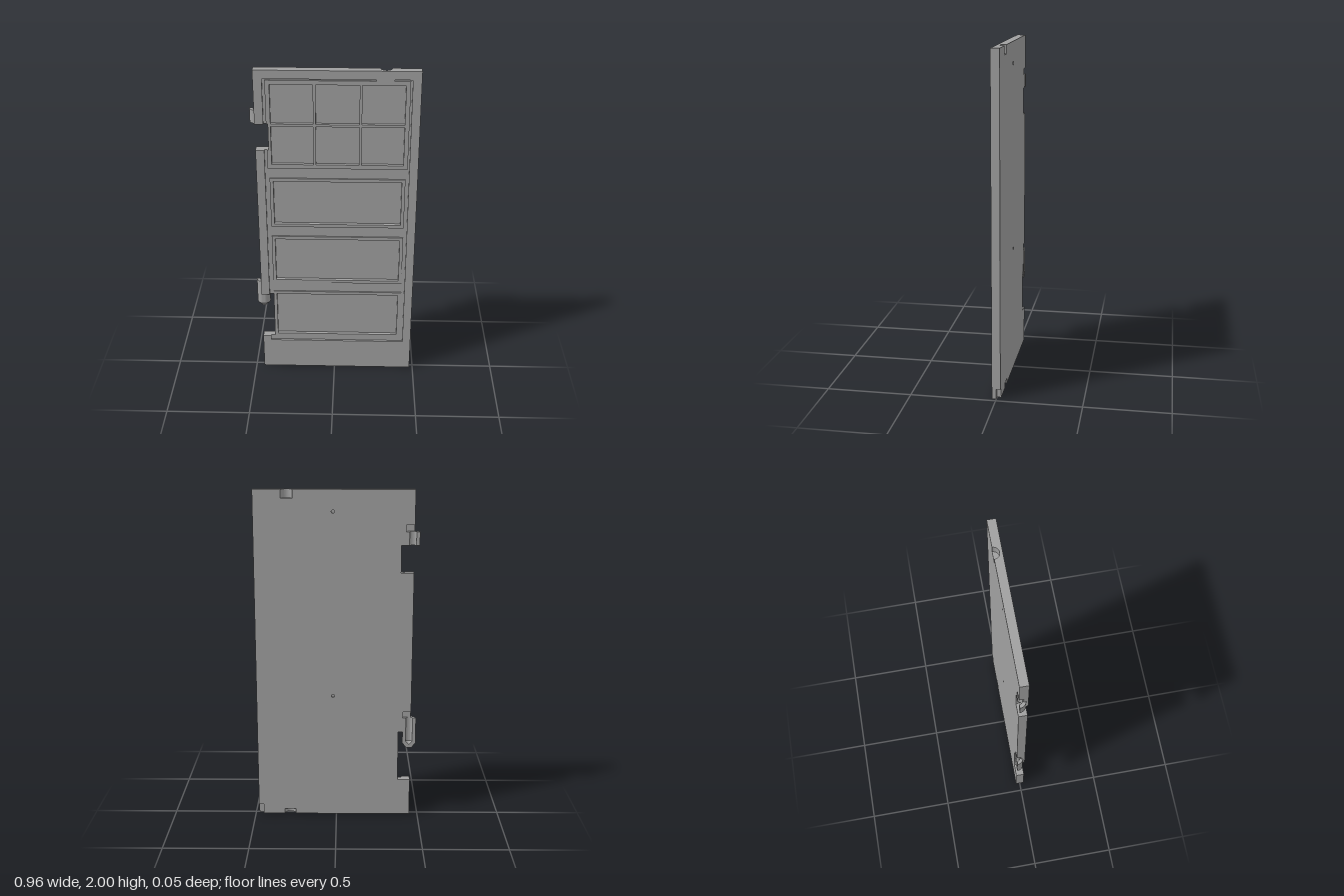
import * as THREE from 'three';
import { toCreasedNormals } from 'three/addons/utils/BufferGeometryUtils.js';

const BACK = -0.025, FLOOR = 0, FIELD = 0.012, BEAD = 0.02, FRONT = 0.025;

const poly = (pts) => new THREE.Shape(pts.map(([x, y]) => new THREE.Vector2(x, y)));
const rect = (x0, y0, x1, y1) => poly([[x0, y0], [x1, y0], [x1, y1], [x0, y1]]);

// Flat layer between two depths, with optional holes
function slab(shape, z0, z1, holes = []) {
  shape.holes.push(...holes);
  const geo = new THREE.ExtrudeGeometry(shape, { depth: z1 - z0, bevelEnabled: false, curveSegments: 12 });
  return geo.translate(0, 0, z0);
}

// Door outline with hinge cut-outs, latch notches and, for the back layer, extra rebates
function outline(rebated) {
  const corner = rebated ? [[0.45, 0], [0.45, 0.06], [0.48, 0.06]] : [[0.48, 0]];
  const high = rebated ? [[-0.45, 1.8], [-0.4, 1.8], [-0.4, 1.68]] : [[-0.45, 1.68]];
  const low = rebated ? [[-0.45, 0.67], [-0.4, 0.67], [-0.4, 0.54]] : [[-0.45, 0.54]];
  return poly([
    [-0.45, 0], [0.25, 0], [0.25, 0.03], [0.32, 0.03], [0.32, 0], ...corner,
    [0.48, 2], [0.32, 2], [0.32, 1.95], [0.25, 1.95], [0.25, 2], [-0.45, 2],
    ...high, [-0.375, 1.68], [-0.375, 1.52], [-0.45, 1.52],
    ...low, [-0.375, 0.54], [-0.375, 0.23], [-0.45, 0.23],
  ]);
}

export function createModel() {
  const door = new THREE.Group();
  door.name = 'panelledDoor';
  const grey = new THREE.MeshStandardMaterial({ color: 0xa0a0a0, side: THREE.DoubleSide });
  grey.name = 'plain grey';
  const add = (name, geo, parent = door) => {
    const mesh = new THREE.Mesh(geo, grey);
    mesh.name = name;
    parent.add(mesh);
    return mesh;
  };

  // Sunk areas: three panels and six window panes
  const panels = [[0.23, 0.565], [0.63, 0.955], [1.02, 1.34]];
  const panelFloors = panels.map(([y0, y1]) => [-0.355, y0 + 0.02, 0.39, y1 - 0.02]);
  const paneFloors = [];
  for (const [x0, x1] of [[-0.36, -0.12], [-0.105, 0.14], [0.155, 0.395]])
    for (const [y0, y1] of [[1.43, 1.665], [1.68, 1.915]]) paneFloors.push([x0, y0, x1, y1]);
  const holesOf = (list) => list.map((r) => rect(...r));

  // Back skin with two small round holes, then the core and the field layer
  const pinHoles = [0.77, 1.875].map((y) => new THREE.Path().absarc(0.02, y, 0.01, 0, Math.PI * 2, true));
  add('backSkin', slab(outline(true), BACK, -0.012, pinHoles));
  add('core', slab(outline(true), -0.012, FLOOR));
  add('field', slab(outline(false), FLOOR, FIELD, holesOf([...panelFloors, ...paneFloors])));

  // Raised border around the field
  add('border', slab(poly([
    [-0.45, 0], [0.48, 0], [0.48, 2], [-0.45, 2], [-0.45, 1.68], [-0.4, 1.68],
    [-0.4, 1.95], [0.43, 1.95], [0.43, 0.2], [-0.4, 0.2], [-0.4, 0.23], [-0.45, 0.23],
  ]), FIELD, FRONT));
  add('hingeStile', slab(rect(-0.45, 0.54, -0.4, 1.52), FIELD, FRONT));
  add('latchPad', slab(rect(0.23, 1.94, 0.33, 1.95), FIELD, FRONT));

  // Mouldings around each panel and the window grid
  panels.forEach(([y0, y1], i) =>
    add('panelMoulding', slab(rect(-0.375, y0, 0.41, y1), FIELD, BEAD, holesOf([panelFloors[i]]))));
  add('windowGrid', slab(poly([
    [-0.385, 1.405], [0.42, 1.405], [0.42, 1.94], [-0.385, 1.94],
    [-0.385, 1.68], [-0.375, 1.68], [-0.375, 1.52], [-0.385, 1.52],
  ]), FIELD, BEAD, holesOf(paneFloors)));

  // Half-round latch sockets at top and bottom of the back
  for (const [y, h] of [[1.95, 0.05], [0, 0.03]]) {
    const s = new THREE.Shape();
    s.moveTo(0.25, -BACK);
    s.lineTo(0.25, -FIELD);
    s.lineTo(0.32, -FIELD);
    s.lineTo(0.32, -BACK);
    s.absarc(0.285, -BACK, 0.034, 0, -Math.PI, true);
    const geo = new THREE.ExtrudeGeometry(s, { depth: h, bevelEnabled: false, curveSegments: 16 });
    add('latchSocket', geo.rotateX(-Math.PI / 2).translate(0, y, 0));
  }

  // Half-round hinge knuckles; the lower one has a closed, tapered foot
  const knuckles = {
    upperHinge: [[0.02, 1.76], [0.02, 1.68], [0.04, 1.68], [0.04, 1.76]],
    lowerHinge: [[0.02, 0.63], [0.02, 0.48], [0, 0.46], [0, 0.44], [0.015, 0.44], [0.04, 0.47], [0.04, 0.63]],
  };
  for (const [name, pts] of Object.entries(knuckles)) {
    const hinge = new THREE.Group();
    hinge.name = name;
    hinge.position.set(-0.44, 0, BACK);
    const loop = [...pts, pts[0]].map(([x, y]) => new THREE.Vector2(x, y));
    add('knuckle', toCreasedNormals(new THREE.LatheGeometry(loop, 16, -Math.PI / 2, Math.PI), 0.5), hinge);
    for (const turn of [0, Math.PI]) {
      add('knuckleEnd', new THREE.ShapeGeometry(poly(pts)), hinge).rotation.y = turn;
    }
    door.add(hinge);
  }
  return door;
}
